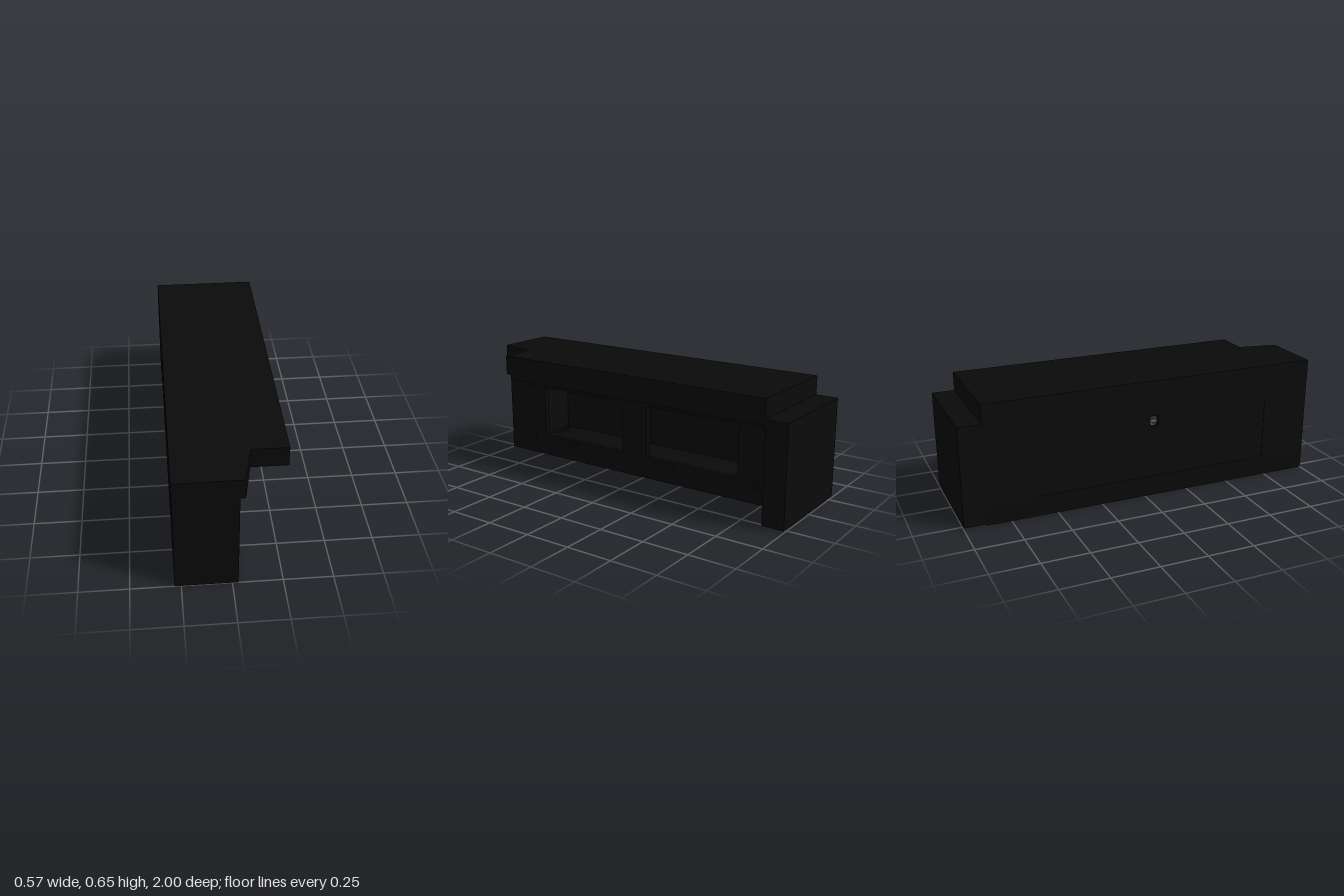
import * as THREE from 'three';

export function createModel() {
  const model = new THREE.Group();
  const black = new THREE.MeshStandardMaterial({ color: 0x0a0a0a });
  black.name = 'black';

  function add(name, geometry) {
    const mesh = new THREE.Mesh(geometry, black);
    mesh.name = name;
    model.add(mesh);
    return mesh;
  }
  // Box given by its lowest and highest corners
  function box(name, x0, x1, y0, y1, z0, z1) {
    const mesh = add(name, new THREE.BoxGeometry(x1 - x0, y1 - y0, z1 - z0));
    mesh.position.set((x0 + x1) / 2, (y0 + y1) / 2, (z0 + z1) / 2);
  }
  const rect = (C, a0, a1, b0, b1) => new C([
    [a0, b0], [a1, b0], [a1, b1], [a0, b1],
  ].map(([a, b]) => new THREE.Vector2(a, b)));
  // Upright wall along z, with rectangular openings [z0, z1, y0, y1]
  function wall(name, outerX, depth, outline, openings) {
    const shape = rect(THREE.Shape, ...outline);
    shape.holes = openings.map((o) => rect(THREE.Path, ...o));
    const g = new THREE.ExtrudeGeometry(shape, { depth, bevelEnabled: false });
    g.rotateY(-Math.PI / 2).translate(outerX, 0, 0);
    add(name, g);
  }
  // Flat slab from an x-z outline, hanging down from topY
  function slab(name, shape, topY, depth) {
    const g = new THREE.ExtrudeGeometry(shape, { depth, bevelEnabled: false, curveSegments: 24 });
    g.rotateX(Math.PI / 2).translate(0, topY, 0);
    add(name, g);
  }

  // Floor with a round socket underneath near the front
  const floor = rect(THREE.Shape, -0.283, 0.03, -0.88, 1);
  floor.holes.push(new THREE.Path().absarc(-0.17, 0.82, 0.09, 0, Math.PI * 2, true));
  slab('floor', floor, 0.1, 0.1);

  // Solid ends of the hollow body and its ceiling
  box('frontEnd', -0.283, 0.03, 0.1, 0.545, 0.79, 1);
  box('rearEnd', -0.283, 0.03, 0.1, 0.545, -0.88, -0.66);
  box('ceiling', -0.283, 0.03, 0.49, 0.545, -0.66, 0.79);

  // Wall with two large windows
  wall('windowWall', 0.03, 0.03, [-0.66, 0.79, 0.1, 0.49],
    [[0.15, 0.725, 0.125, 0.42], [-0.6, -0.02, 0.125, 0.42]]);

  // Plain wall with a shallow recessed cover and a slot through it
  wall('coverFrame', -0.278, 0.005, [-0.66, 0.79, 0.1, 0.49], [[-0.615, 0.73, 0.11, 0.465]]);
  wall('cover', -0.255, 0.025, [-0.66, 0.79, 0.1, 0.49], [[0.03, 0.075, 0.395, 0.455]]);

  // Small vent bars above and below the windows
  for (const z of [0.83, 0.52, -0.18, -0.71])
    for (const y of [0.1, 0.44])
      for (const dy of [-0.02, 0, 0.02])
        box('ventBar', 0.03, 0.033, y + dy - 0.004, y + dy + 0.004, z - 0.03, z + 0.03);

  // Overhanging roof with an angled front notch, and its lower lip
  const roof = new THREE.Shape([
    [-0.285, -0.88], [0.285, -0.88], [0.285, 0.785], [0.1, 0.785], [0.055, 1], [-0.285, 1],
  ].map(([x, z]) => new THREE.Vector2(x, z)));
  slab('roof', roof, 0.652, 0.107);
  box('roofLip', 0.03, 0.285, 0.52, 0.545, -0.88, 0.745);
  box('notchBracket', 0.03, 0.085, 0.52, 0.545, 0.745, 0.79);

  // Wide block across the rear
  box('rearBlock', -0.285, 0.285, 0.01, 0.55, -1, -0.88);

  return model;
}
